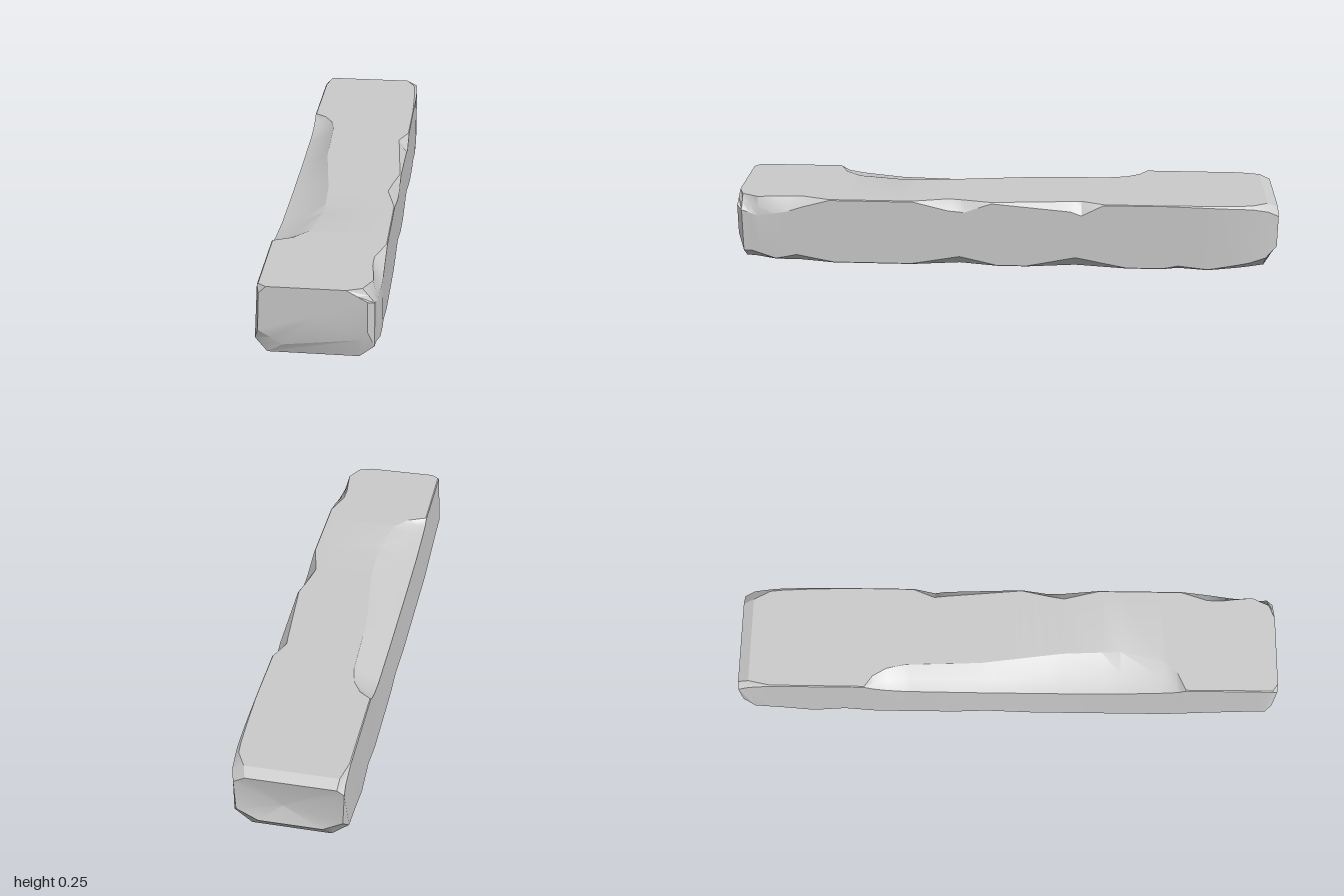
import * as THREE from 'three';
import { toCreasedNormals } from 'three/addons/utils/BufferGeometryUtils.js';

// Wear along each long edge: [z, width across the top/bottom, height down the side]
const WEAR = {
  bottomLow: [[-0.96, 0.06, 0.05], [-0.85, 0.02, 0.03], [-0.74, 0.004, 0.004], [-0.62, 0.03, 0.03], [-0.5, 0.004, 0.004],
    [-0.2, 0.004, 0.004], [-0.08, 0.02, 0.02], [0.1, 0.004, 0.004], [0.6, 0.004, 0.004], [0.78, 0.03, 0.03], [0.95, 0.04, 0.05]],
  bottomHigh: [[-0.96, 0.06, 0.05], [-0.9, 0.04, 0.03], [-0.75, 0.003, 0.003], [-0.64, 0.02, 0.015], [-0.58, 0.003, 0.003],
    [-0.45, 0.003, 0.003], [-0.26, 0.03, 0.04], [-0.08, 0.003, 0.003], [0.03, 0.003, 0.003], [0.17, 0.03, 0.035],
    [0.35, 0.003, 0.003], [0.64, 0.003, 0.003], [0.78, 0.03, 0.03], [0.86, 0.025, 0.012], [0.95, 0.05, 0.04]],
  topHigh: [[-0.96, 0.04, 0.02], [-0.9, 0.012, 0.01], [-0.6, 0.002, 0.002], [-0.36, 0.003, 0.003], [-0.28, 0.035, 0.045],
    [-0.24, 0.03, 0.03], [0.05, 0.004, 0.004], [0.15, 0.025, 0.04], [0.21, 0.035, 0.035], [0.34, 0.003, 0.003],
    [0.65, 0.003, 0.003], [0.75, 0.035, 0.03], [0.81, 0.035, 0.05], [0.92, 0.015, 0.07], [0.98, 0.04, 0.05]],
  // long shallow scoop
  topLow: [[-0.96, 0.02, 0.02], [-0.88, 0.004, 0.004], [-0.53, 0.003, 0.003], [-0.5, 0.045, 0.02], [-0.45, 0.075, 0.035],
    [-0.38, 0.09, 0.045], [-0.1, 0.1, 0.05], [0.2, 0.14, 0.05], [0.42, 0.15, 0.045], [0.57, 0.12, 0.03],
    [0.63, 0.07, 0.02], [0.66, 0.003, 0.003], [0.95, 0.004, 0.004]]
};

// End faces, two points per corner, counter-clockwise from the lower -x corner
const FRONT = [[-0.19, 0.09], [-0.11, 0.04], [0.14, 0.07], [0.17, 0.1], [0.17, 0.21], [0.1, 0.25], [-0.16, 0.25], [-0.185, 0.225]];
const BACK = [[-0.19, 0.09], [-0.12, 0.05], [0.1, 0.05], [0.175, 0.09], [0.18, 0.21], [0.14, 0.232], [-0.17, 0.232], [-0.195, 0.215]];

function wearAt(keys, z) {
  let i = 0;
  while (i < keys.length - 2 && z > keys[i + 1][0]) i++;
  const [a, b] = [keys[i], keys[i + 1]];
  const t = THREE.MathUtils.clamp((z - a[0]) / (b[0] - a[0]), 0, 1);
  return [THREE.MathUtils.lerp(a[1], b[1], t), THREE.MathUtils.lerp(a[2], b[2], t)];
}

// Adds a middle point to each corner; sag pulls the scooped corner inwards
function withMiddles(points, z, sag = 0) {
  const out = [];
  for (let c = 0; c < 4; c++) {
    const p = points[c * 2], q = points[c * 2 + 1];
    const s = c === 3 ? sag : 0;
    out.push([...p, z], [(p[0] + q[0]) / 2, (p[1] + q[1]) / 2 - s, z], [...q, z]);
  }
  return out;
}

function crossSection(z) {
  const right = 0.203 - 0.012 * THREE.MathUtils.smoothstep(Math.abs(z), 0.8, 1);
  const low = -0.203, top = -0.192, H = 0.25;
  const [a, b, c, d] = [WEAR.bottomLow, WEAR.bottomHigh, WEAR.topHigh, WEAR.topLow].map(k => wearAt(k, z));
  const points = [
    [low, a[1]], [low + a[0], 0], [right - b[0], 0], [right, b[1]],
    [right, H - c[1]], [right - c[0], H], [top + d[0], H], [top, H - d[1]]
  ];
  return withMiddles(points, z, d[1] * 0.2);
}

function beamGeometry() {
  const stations = [...new Set(Object.values(WEAR).flat().map(k => k[0]))].sort((a, b) => a - b);
  const sections = [withMiddles(BACK, -1), ...stations.map(crossSection), withMiddles(FRONT, 1)];
  const n = 12, last = (sections.length - 1) * n;
  const vertices = sections.flat(2);
  const index = [];
  for (let s = 0; s < sections.length - 1; s++) {
    for (let j = 0; j < n; j++) {
      const a = s * n + j, b = s * n + (j + 1) % n;
      index.push(a, b, b + n, a, b + n, a + n);
    }
  }
  // End caps: the back one is hollowed a little
  const backCentre = last + n, frontCentre = backCentre + 1;
  vertices.push(0.02, 0.11, -0.975, 0, 0.15, 1);
  for (let j = 0; j < n; j++) {
    const k = (j + 1) % n;
    index.push(backCentre, k, j, frontCentre, last + j, last + k);
  }
  const geometry = new THREE.BufferGeometry();
  geometry.setAttribute('position', new THREE.Float32BufferAttribute(vertices, 3));
  geometry.setIndex(index);
  return toCreasedNormals(geometry, 0.4);
}

export function createModel() {
  const group = new THREE.Group();
  group.name = 'wornBeam';
  const beam = new THREE.Mesh(beamGeometry(), new THREE.MeshStandardMaterial({ color: 0xcccccc }));
  beam.name = 'beam';
  group.add(beam);
  return group;
}
